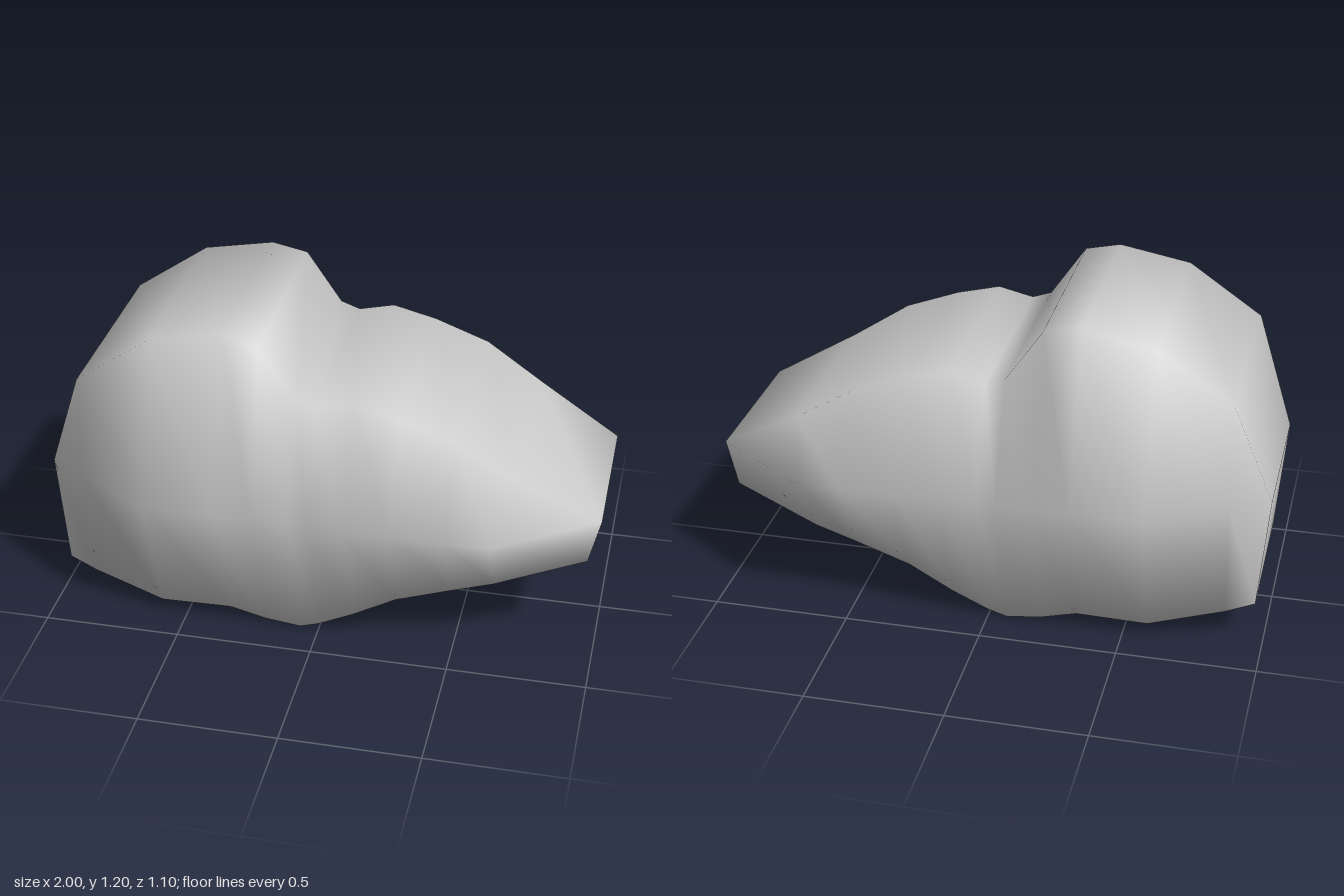
import * as THREE from 'three';
import { mergeVertices } from 'three/addons/utils/BufferGeometryUtils.js';

// Each station: top [x, y, half width], mid [x, half width], bottom [x, y, half width]
const MID_Y = 0.57;
const STATIONS = [
  [[-1, 0.57, 0.3], [-1, 0.3], [-0.965, 0.15, 0.3]],
  [[-0.86, 0.965, 0.38], [-0.86, 0.385], [-0.86, 0.115, 0.32]],
  [[-0.59, 1.15, 0.38], [-0.59, 0.55], [-0.59, 0.055, 0.37]],
  [[-0.33, 1.2, 0.375], [-0.33, 0.55], [-0.33, 0.06, 0.37]],
  [[-0.2, 1.17, 0.38], [-0.2, 0.545], [-0.2, 0.02, 0.36]],
  [[-0.07, 0.98, 0.38], [-0.07, 0.545], [-0.07, 0.0, 0.355]],
  [[0, 0.955, 0.38], [0, 0.545], [0, 0.025, 0.36]],
  [[0.13, 0.985, 0.38], [0.13, 0.55], [0.13, 0.1, 0.38]],
  [[0.29, 0.945, 0.38], [0.29, 0.55], [0.29, 0.19, 0.38]],
  [[0.49, 0.87, 0.38], [0.49, 0.55], [0.49, 0.26, 0.38]],
  [[0.7, 0.735, 0.36], [0.64, 0.55], [0.64, 0.31, 0.38]],
  [[1, 0.57, 0.3], [1, 0.3], [0.96, 0.4, 0.3]],
];

// Six-sided cross-section, mirrored front to back
function section([top, mid, bottom]) {
  const half = [top, [mid[0], MID_Y, mid[1]], bottom];
  const mirrored = half.map(([x, y, z]) => [x, y, -z]).reverse();
  return [...half, ...mirrored];
}

function loft(rings) {
  const n = rings[0].length;
  const last = (rings.length - 1) * n;
  const index = [];
  for (let i = 0; i < rings.length - 1; i++) {
    for (let j = 0; j < n; j++) {
      const a = i * n + j, b = i * n + (j + 1) % n;
      index.push(a, b, b + n, a, b + n, a + n);
    }
  }
  // End caps
  for (let j = 1; j < n - 1; j++) {
    index.push(0, j + 1, j);
    index.push(last, last + j, last + j + 1);
  }
  let geometry = new THREE.BufferGeometry();
  geometry.setAttribute('position', new THREE.Float32BufferAttribute(rings.flat(2), 3));
  geometry.setIndex(index);
  geometry = mergeVertices(geometry, 1e-4);
  geometry.computeVertexNormals();
  return geometry;
}

export function createModel() {
  const group = new THREE.Group();
  group.name = 'roundedBoulder';
  const material = new THREE.MeshStandardMaterial({ color: 0xcccccc });
  const body = new THREE.Mesh(loft(STATIONS.map(section)), material);
  body.name = 'body';
  group.add(body);
  return group;
}
